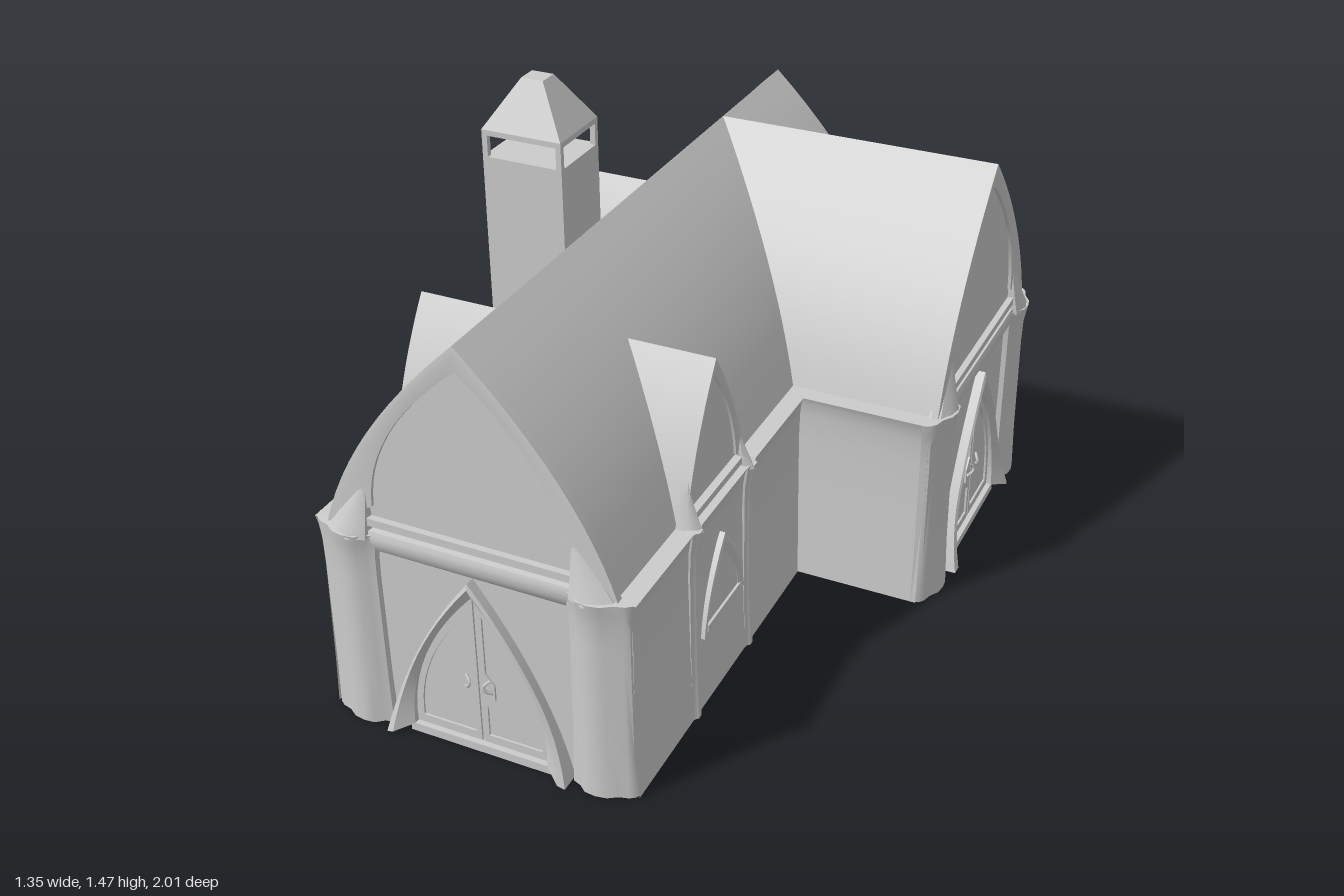
import * as THREE from 'three';
import { toCreasedNormals } from 'three/addons/utils/BufferGeometryUtils.js';

const CX = -0.2075;   // nave axis (x)
const CZ = -0.545;    // transept axis (z)
const END = 0.953;    // nave gable plane (z)
const SIDE = 0.618;   // transept gable plane (x)
const EAVE = 0.6, RIDGE = 1.2, HALF = 0.4;

const mat = new THREE.MeshStandardMaterial({ color: 0xcccccc, side: THREE.DoubleSide });

function add(parent, name, geo, x = 0, y = 0, z = 0) {
  const m = new THREE.Mesh(geo, mat);
  m.name = name;
  m.position.set(x, y, z);
  parent.add(m);
  return m;
}
const box = (parent, name, w, h, d, x, y, z) => add(parent, name, new THREE.BoxGeometry(w, h, d), x, y, z);

// Surface through rows of equally many [x, y, z] points
function grid(rows, crease = 0.6) {
  const n = rows[0].length, index = [];
  for (let r = 0; r < rows.length - 1; r++)
    for (let i = 0; i < n - 1; i++) {
      const a = r * n + i, b = a + n;
      index.push(a, b, a + 1, a + 1, b, b + 1);
    }
  const g = new THREE.BufferGeometry();
  g.setAttribute('position', new THREE.Float32BufferAttribute(rows.flat(2), 3));
  g.setIndex(index);
  return toCreasedNormals(g, crease);
}

// Half width of a pointed arch at height fraction t; b sets how straight it is
const bow = (t, b) => 1 - b * t - (1 - b) * t * t;
const roofHalf = y => HALF * bow((y - EAVE) / (RIDGE - EAVE), 0.45);

// Pointed arch as [u, y] points from one foot over the apex to the other
function arch(half, y0, y1, b = 0.45, n = 12) {
  const p = [];
  for (let i = -n; i <= n; i++) {
    const t = 1 - Math.abs(i) / n;
    p.push([Math.sign(i) * half * bow(t, b), y0 + (y1 - y0) * t]);
  }
  return p;
}
const shape = pts => new THREE.Shape(pts.map(p => new THREE.Vector2(...p)));
const flat = pts => new THREE.ShapeGeometry(shape(pts));
const at = (pts, d) => pts.map(([u, y]) => [u, y, typeof d === 'function' ? d(y) : d]);

// Splayed frame between an outer and an inner arch
function archFrame(parent, name, outer, inner, back, front, flare = () => 0) {
  const mid = outer.map(([u, y], i) => [u * 0.7 + inner[i][0] * 0.3, y * 0.7 + inner[i][1] * 0.3]);
  add(parent, name, grid([
    at(outer, back), at(outer, y => front * 0.8 + flare(y)), at(mid, y => front + flare(y)),
    at(inner, y => front * 0.4 + flare(y) * 0.3), at(inner, back),
  ], 0.5));
}

// Clustered piers swelling into capitals, each with a spur that tapers up onto the arch.
// spur gives inner and outer u at the foot, the u of its tip, its depth and its top height
function piers(parent, section, cu, spur) {
  const levels = [[0, 1.1], [0.15, 0.95], [0.46, 0.85], [0.53, 0.9], [0.57, 1.1], [EAVE, 1.25]];
  const rows = levels.map(([y, s]) =>
    section.map(([u, d]) => [cu + (u - cu) * (1 + (s - 1) * 0.3), y, d > 0 ? d * s : d]));
  rows.push(section.map(() => [cu, EAVE + 0.005, 0]));
  const spurRows = [];
  for (let i = 0; i <= 6; i++) {
    const k = i / 6, y = EAVE - 0.01 + (spur.top - EAVE) * k, d = spur.depth * (1 - k) ** 1.3;
    const a = spur.inner + (spur.tip - spur.inner) * k, b = spur.outer + (spur.tip - spur.outer) * k;
    spurRows.push([[0, -0.02], [0.08, 0.6], [0.4, 1], [0.7, 0.8], [0.95, 0.3], [1, -0.02]].map(([f, h]) =>
      [a + (b - a) * f, y, h < 0 ? h : d * h]));
  }
  const shaftGeo = grid(rows, 0.7), spurGeo = grid(spurRows, 0.7);
  for (const sx of [-1, 1]) {
    const g = new THREE.Group();
    g.name = 'pier';
    g.scale.x = sx;
    add(g, 'pierShaft', shaftGeo);
    add(g, 'archSpur', spurGeo);
    parent.add(g);
  }
}

// Double door with splayed pointed surround
const DOOR_ARCH = arch(0.265, 0, 0.54);
function door() {
  const g = new THREE.Group();
  g.name = 'door';
  const inner = arch(0.197, 0.025, 0.488, -0.12);
  archFrame(g, 'doorSurround', DOOR_ARCH, inner, -0.012, 0.026, y => 0.03 * Math.max(0, 1 - y / 0.25) ** 2);
  box(g, 'threshold', 0.42, 0.025, 0.03, 0, 0.0125, 0.002);
  add(g, 'doorBoards', flat(inner), 0, 0, -0.006);
  const right = p => p.filter(q => q[0] >= 0);
  const leaf = shape([[0.003, 0.025], [0.003, 0.483], ...right(inner).slice(1)]);
  const panel = right(arch(0.176, 0.05, 0.45, -0.12)).filter(q => q[0] > 0.03);
  leaf.holes.push(new THREE.Path([[0.02, 0.05], [0.02, 0.14], [0.045, 0.17], [0.045, 0.22], [0.02, 0.25],
    [0.02, 0.43], ...panel].map(p => new THREE.Vector2(...p))));
  const leafGeo = new THREE.ExtrudeGeometry(leaf, { depth: 0.006, bevelEnabled: false });
  const curve = new THREE.CatmullRomCurve3([[0.036, 0.235, 0.002], [0.02, 0.22, 0.014], [0.024, 0.208, 0.015],
    [0.04, 0.195, 0.002]].map(p => new THREE.Vector3(...p)));
  const handleGeo = new THREE.TubeGeometry(curve, 8, 0.0045, 6);
  for (const sx of [-1, 1]) {
    const half = new THREE.Group();
    half.name = 'doorLeaf';
    half.scale.x = sx;
    add(half, 'leafFrame', leafGeo, 0, 0, -0.005);
    add(half, 'handle', handleGeo);
    g.add(half);
  }
  return g;
}

// Gable end: local +z faces outward, z = 0 is the end of the roof
function gable(name, withDoor) {
  const g = new THREE.Group();
  g.name = name;
  const outer = arch(0.41, EAVE, RIDGE), inner = arch(0.272, 0.68, 1.13, 0);
  const doorway = withDoor ? [...DOOR_ARCH].reverse() : [];
  add(g, 'endWall', flat([[-0.44, 0], [-0.44, EAVE], [0.44, EAVE], [0.44, 0], ...doorway]), 0, 0, -0.006);
  add(g, 'gableWall', flat(outer), 0, 0, -0.006);
  archFrame(g, 'gableFrame', outer, inner, -0.012, 0.008);
  box(g, 'sillMoulding', 0.57, 0.022, 0.024, 0, 0.636, 0);
  // Coved beam under the gable
  const cove = [[EAVE + 0.012, -0.006], [EAVE + 0.01, 0.012], [0.595, 0.017], [0.575, 0.015], [0.555, 0.008], [0.54, -0.006]];
  add(g, 'beam', grid([-0.3, 0.3].map(u => cove.map(([y, d]) => [u, y, d])), 0.8));
  piers(g, [[0.268, -0.01], [0.272, 0.01], [0.295, 0.018], [0.315, 0.033], [0.345, 0.036], [0.375, 0.031],
    [0.4, 0.016], [0.425, 0.01], [0.44, 0.0], [0.448, -0.025]], 0.36,
  { inner: 0.275, outer: 0.415, tip: 0.288, depth: 0.045, top: 0.77 });
  if (withDoor) g.add(door());
  return g;
}

// Dormer bay: local +z faces outward, z = 0 is the dormer face
function dormer(name) {
  const g = new THREE.Group();
  g.name = name;
  const outer = arch(0.18, EAVE, 1.0), face = arch(0.135, 0.64, 0.95, 0.25);
  add(g, 'dormerRoof', grid([at(outer, 0.004), at(outer, y => roofHalf(y) - 0.42)]));
  add(g, 'dormerWall', flat(outer), 0, 0, -0.004);
  archFrame(g, 'dormerFrame', outer, face, -0.01, 0.008);
  box(g, 'dormerSill', 0.28, 0.02, 0.036, 0, 0.622, 0);
  piers(g, [[0.142, 0.01], [0.146, 0.027], [0.156, 0.03], [0.162, 0.036], [0.178, 0.036], [0.184, 0.03],
    [0.193, 0.026], [0.196, 0.01]], 0.168,
  { inner: 0.14, outer: 0.19, tip: 0.15, depth: 0.046, top: 0.73 });
  // Pointed window set into the side wall
  const win = new THREE.Group();
  win.name = 'window';
  win.position.z = 0.022;
  const pane = arch(0.1, 0.25, 0.435, 0.25);
  archFrame(win, 'windowFrame', arch(0.128, 0.225, 0.485, 0.3), pane, -0.015, 0.014);
  box(win, 'windowSill', 0.21, 0.018, 0.022, 0, 0.244, 0);
  add(win, 'windowPane', flat(pane), 0, 0, 0.004);
  g.add(win);
  return g;
}

function chimney() {
  const g = new THREE.Group();
  g.name = 'chimney';
  g.position.set(-0.51, 0, -0.005);
  const W = 0.242, D = 0.21;
  const ring = (w, d, y) => [[-1, -1], [1, -1], [1, 1], [-1, 1], [-1, -1]].map(([a, b]) =>
    [a * w / 2, typeof y === 'function' ? y(a) : y, b * d / 2]);
  // The shaft's foot follows the slope of the roof
  add(g, 'chimneyShaft', grid([ring(W, D, a => (a < 0 ? 0.59 : 0.99)), ring(W, D, 1.252), ring(0, 0, 1.252)], 0.2));
  for (const sx of [-1, 1])
    for (const sz of [-1, 1])
      box(g, 'chimneyPost', 0.016, 0.065, 0.016, sx * (W / 2 - 0.008), 1.284, sz * (D / 2 - 0.008));
  box(g, 'chimneyBand', W, 0.016, D, 0, 1.322, 0);
  add(g, 'chimneyCap', grid([ring(W, D, 1.33), ring(0.066, 0.06, 1.465), ring(0, 0, 1.465)], 0.2));
  return g;
}

export function createModel() {
  const model = new THREE.Group();
  model.name = 'chapel';

  // Roofs; nave and transept meet in mitred valleys
  const section = arch(HALF, EAVE, RIDGE);
  const slope = section.filter(p => p[0] >= 0);
  const naveSlope = (name, side, ...ends) =>
    add(model, name, grid(ends.map(z => slope.map(([u, y]) => [CX + side * u, y, typeof z === 'function' ? z(u) : z]))));
  naveSlope('naveRoofLeft', -1, END, -END);
  naveSlope('naveRoofFront', 1, END, u => CZ + u);
  naveSlope('naveRoofBack', 1, -END, u => CZ - u);
  add(model, 'transeptRoof', grid([
    section.map(([u, y]) => [SIDE, y, CZ + u]),
    section.map(([u, y]) => [CX + Math.abs(u), y, CZ + u]),
  ]));

  // Hollow side walls curving out to a flat eave ledge
  const wall = [[0.45, 0], [0.444, 0.15], [0.44, 0.32], [0.437, 0.46], [0.439, 0.54], [0.445, 0.58], [0.453, EAVE], [HALF - 0.005, EAVE]];
  const sideWall = (name, a, b) => add(model, name, grid([a, b].map(f => wall.map(([o, y]) => {
    const [x, z] = f(o);
    return [x, y, z];
  }))));
  sideWall('leftWall', o => [CX - o, -END], o => [CX - o, END]);
  sideWall('rightWall', o => [CX + o, END], o => [CX + o, CZ + o]);
  sideWall('transeptFrontWall', o => [CX + o, CZ + o], o => [SIDE - 0.01, CZ + o]);
  sideWall('transeptBackWall', o => [CX + HALF, CZ - o], o => [SIDE - 0.01, CZ - o]);

  const place = (part, x, z, turn) => {
    part.position.set(x, 0, z);
    part.rotation.y = turn;
    model.add(part);
  };
  place(gable('frontGable', true), CX, END, 0);
  place(gable('transeptGable', true), SIDE, CZ, Math.PI / 2);
  place(gable('backGable', false), CX, -END, Math.PI);
  place(dormer('rightDormer'), CX + 0.42, 0.44, Math.PI / 2);
  for (const z of [0.44, -0.44]) place(dormer('leftDormer'), CX - 0.42, z, -Math.PI / 2);

  model.add(chimney());
  return model;
}
